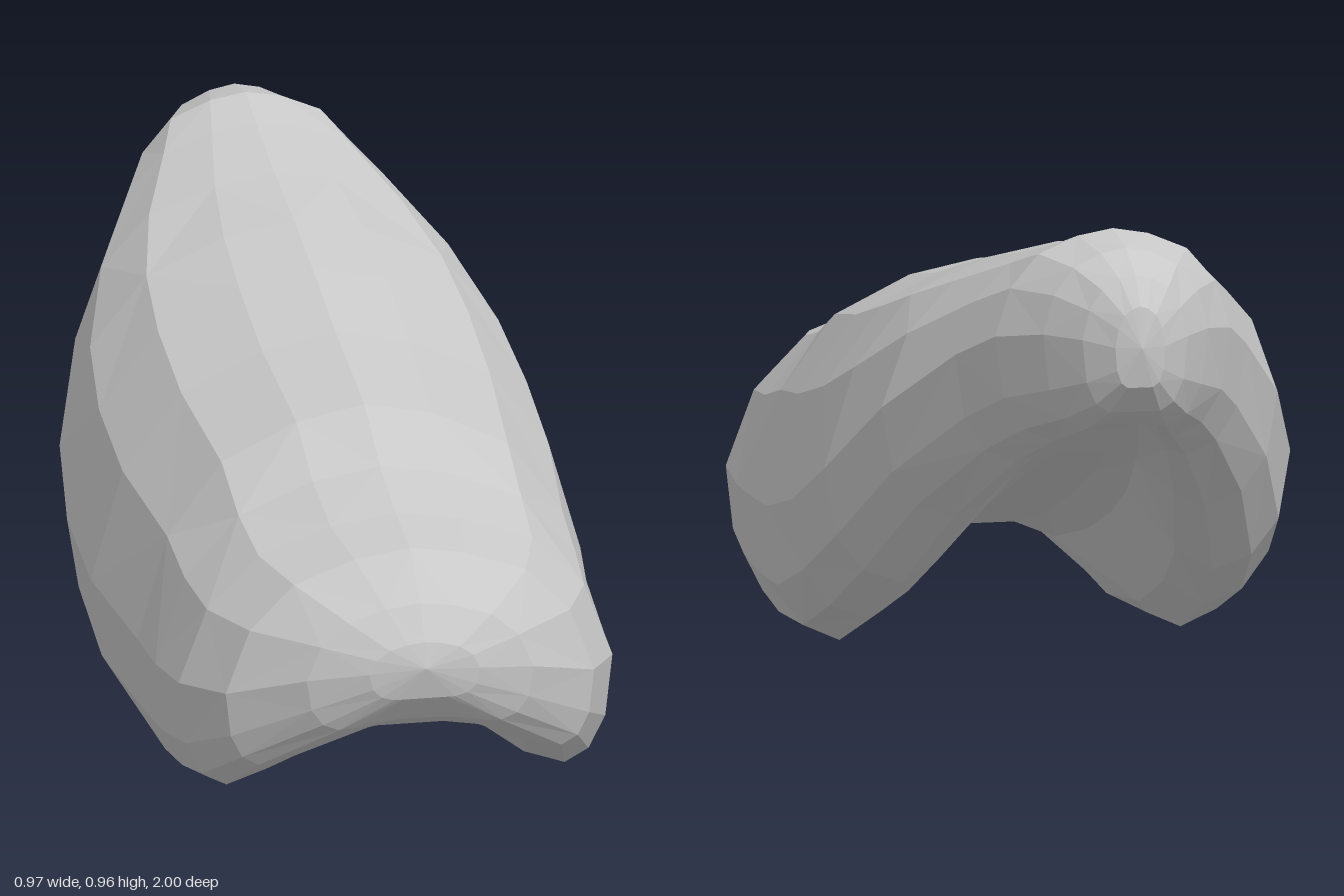
import * as THREE from 'three';

// Cross-sections, front to back:
// z, crown height, half width, height of widest point, leg x, leg bottom, groove roof
const SECTIONS = [
  [0.985, 0.42, 0.11, 0.36, 0.06, 0.305, 0.305],
  [0.94, 0.485, 0.225, 0.34, 0.16, 0.235, 0.25],
  [0.84, 0.565, 0.365, 0.29, 0.30, 0.14, 0.205],
  [0.70, 0.59, 0.43, 0.27, 0.335, 0.055, 0.18],
  [0.55, 0.635, 0.445, 0.26, 0.34, 0.02, 0.18],
  [0.40, 0.712, 0.45, 0.26, 0.34, 0.0, 0.19],
  [0.12, 0.765, 0.485, 0.29, 0.34, 0.02, 0.26],
  [-0.10, 0.82, 0.487, 0.34, 0.335, 0.10, 0.33],
  [-0.28, 0.86, 0.465, 0.43, 0.31, 0.20, 0.40],
  [-0.47, 0.893, 0.395, 0.58, 0.25, 0.36, 0.475],
  [-0.65, 0.935, 0.29, 0.71, 0.17, 0.495, 0.55],
  [-0.75, 0.965, 0.235, 0.76, 0.12, 0.55, 0.585],
  [-0.86, 0.945, 0.165, 0.78, 0.08, 0.59, 0.60],
  [-0.94, 0.905, 0.105, 0.78, 0.05, 0.635, 0.635],
  [-0.985, 0.85, 0.05, 0.77, 0.025, 0.69, 0.69],
];

// Closed ring: crown, flank, leg, groove, then the mirrored half
function ring([z, top, w, yw, xl, bot, under]) {
  const h = top - yw, g = under - bot;
  const half = [
    [0, top],
    [0.3 * w, yw + 0.94 * h],
    [0.63 * w, yw + 0.78 * h],
    [0.87 * w, yw + 0.46 * h],
    [w, yw],
    [xl + 0.85 * (w - xl), bot + 0.42 * (yw - bot)],
    [xl + 0.5 * (w - xl), bot + 0.12 * (yw - bot)],
    [xl, bot],
    [0.76 * xl, bot + 0.22 * g],
    [0.45 * xl, bot + 0.83 * g],
    [0.22 * xl, under],
    [0, under],
  ];
  const mirrored = half.slice(1, -1).reverse().map(([x, y]) => [-x, y]);
  return [...half, ...mirrored].map(([x, y]) => [x, y, z]);
}

function shellGeometry() {
  const rings = SECTIONS.map(ring);
  const n = rings[0].length;
  const points = rings.flat();
  const faces = [];
  for (let j = 0; j < rings.length - 1; j++) {
    for (let i = 0; i < n; i++) {
      const k = (i + 1) % n;
      const a = j * n + i, b = j * n + k, c = a + n, d = b + n;
      // Alternating diagonals give an irregular faceted surface
      if ((i + j) % 2) faces.push(a, b, c, b, d, c);
      else faces.push(a, b, d, a, d, c);
    }
  }
  // Rounded front and back tips
  const front = points.push([0, 0.37, 1]) - 1;
  const back = points.push([0, 0.77, -1]) - 1;
  const last = (rings.length - 1) * n;
  for (let i = 0; i < n; i++) {
    const k = (i + 1) % n;
    faces.push(front, k, i, back, last + i, last + k);
  }
  const geometry = new THREE.BufferGeometry();
  geometry.setAttribute('position', new THREE.Float32BufferAttribute(points.flat(), 3));
  geometry.setIndex(faces);
  geometry.computeVertexNormals();
  return geometry;
}

export function createModel() {
  const group = new THREE.Group();
  group.name = 'archedShell';
  const grey = new THREE.MeshStandardMaterial({ color: 0xc8c8c8, flatShading: true });
  grey.name = 'light grey';
  const body = new THREE.Mesh(shellGeometry(), grey);
  body.name = 'body';
  group.add(body);
  return group;
}
